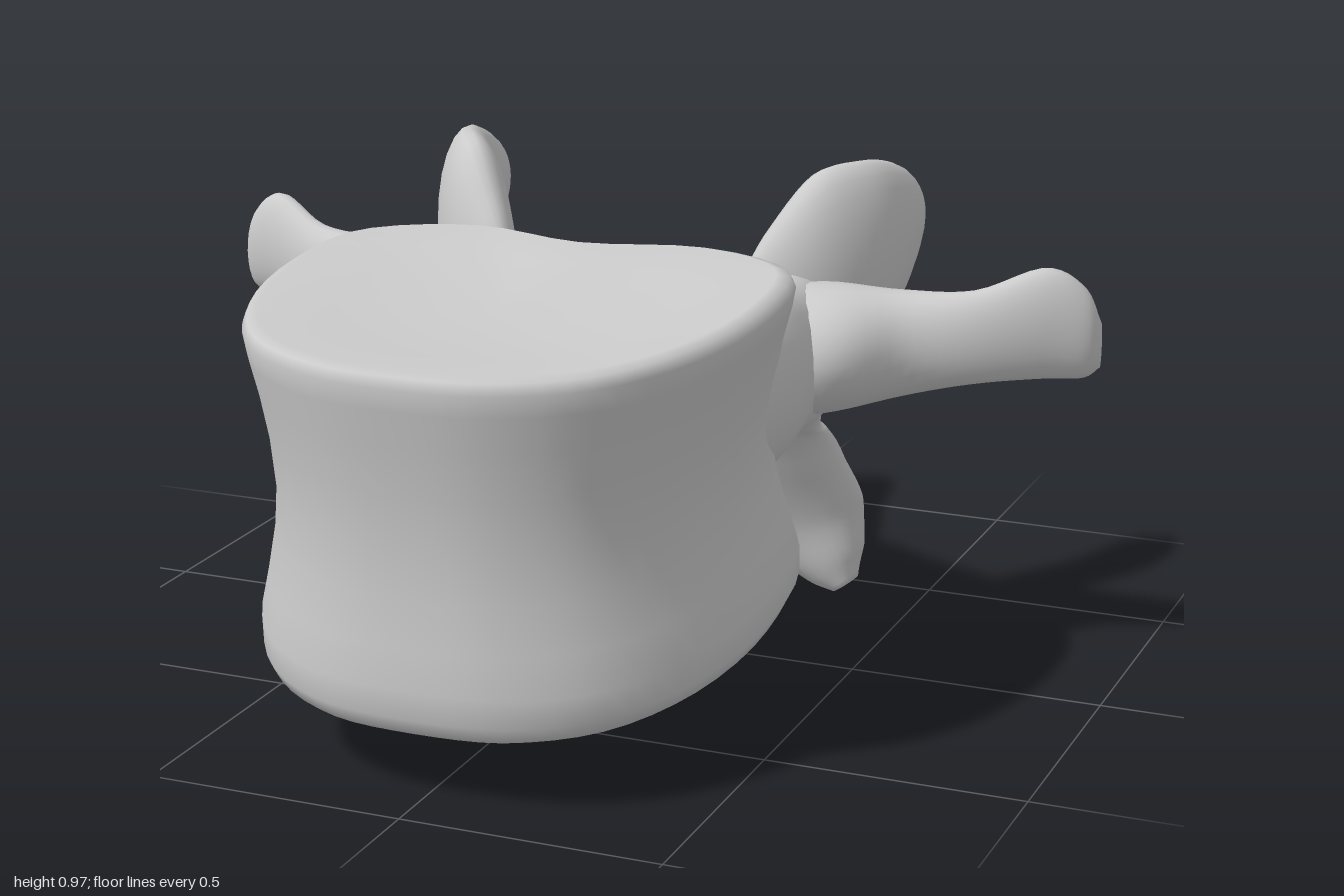
import * as THREE from 'three';

const material = new THREE.MeshStandardMaterial({ color: 0xcccccc });
const UP = new THREE.Vector3(0, 1, 0);
const BACK_FRONT = new THREE.Vector3(0, 0, 1);

// Skin closed rings of points into a smooth, capped surface.
function skin(name, rings) {
  const n = rings[0].length, last = (rings.length - 1) * n, index = [];
  const points = rings.flat();
  const centre = ring => ring.reduce((s, p) => s.add(p), new THREE.Vector3()).divideScalar(n);
  const c0 = points.length, c1 = c0 + 1;
  points.push(centre(rings[0]), centre(rings[rings.length - 1]));
  for (let j = 0; j < n; j++) {
    const k = (j + 1) % n;
    for (let i = 0; i < last; i += n) {
      index.push(i + j, i + k, i + n + j, i + k, i + n + k, i + n + j);
    }
    index.push(c0, k, j, c1, last + j, last + k);
  }
  const geometry = new THREE.BufferGeometry().setFromPoints(points);
  geometry.setIndex(index);
  geometry.computeVertexNormals();
  const mesh = new THREE.Mesh(geometry, material);
  mesh.name = name;
  return mesh;
}

// Loft oval sections [x, y, z, half width, half height, taper] along a smooth path.
function loft(name, sections, up = UP, side = 1, steps = 32, sides = 24) {
  const path = new THREE.CatmullRomCurve3(
    sections.map(s => new THREE.Vector3(s[0] * side, s[1], s[2])));
  const size = new THREE.CatmullRomCurve3(
    sections.map(s => new THREE.Vector3(s[3], s[4], s[5] || 0)));
  // Evaluate both curves at the same parameter with uniform Catmull-Rom.
  path.curveType = size.curveType = 'catmullrom';
  const rings = [];
  for (let i = 0; i <= steps; i++) {
    const t = i / steps, c = path.getPoint(t), s = size.getPoint(t);
    const across = up.clone().cross(path.getTangent(t)).normalize();
    const ring = [];
    for (let j = 0; j < sides; j++) {
      const a = j / sides * Math.PI * 2;
      const w = s.x * Math.cos(a) * (1 - s.z * Math.sin(a));
      ring.push(c.clone().addScaledVector(across, w).addScaledVector(up, s.y * Math.sin(a)));
    }
    rings.push(ring);
  }
  return skin(name, rings);
}

// Drum-shaped body: rounded front, hollow back, narrowed waist and dished ends.
function vertebralBody() {
  const half = [[0, 1], [.17, .98], [.33, .89], [.44, .71], [.485, .45], [.44, .21], [.25, .11]];
  const loop = [...half, [0, .165], ...half.slice(1).reverse().map(([x, z]) => [-x, z])];
  const outline = new THREE.CatmullRomCurve3(
    loop.map(([x, z]) => new THREE.Vector3(x, 0, z)), true).getPoints(56).slice(0, -1);
  // Level, scale and rim-to-centre dish of each ring, bottom to top.
  const levels = [
    [0, .3, .02], [0, .65, .012], [0, .9, 0], [.015, .965, 0], [.06, .995, 0], [.14, .995, 0],
    [.25, .955, 0], [.38, .915, 0], [.52, .895, 0], [.66, .91, 0], [.8, .945, 0], [.9, .98, 0],
    [.96, .995, 0], [.99, .975, 0], [1, .93, 0], [1, .65, -.018], [1, .3, -.03]];
  const rings = levels.map(([t, s, dish]) => outline.map(p => {
    const lean = .05 * (t - 1);
    const z = .55 + (p.z - .55) * (s + (1 - s) * (t > .1 && t < .95 ? .35 : 0)) + lean;
    const low = .135 + Math.max(0, .92 - z) * .155;
    const high = .82 + Math.min(.05, Math.max(0, 1 - z) * .07);
    return new THREE.Vector3(p.x * s, low + (high - low) * t + dish, z);
  }));
  return skin('vertebralBody', rings);
}

export function createModel() {
  const model = new THREE.Group();
  model.name = 'vertebra';
  model.add(vertebralBody());

  // Arch across the back of the canal
  model.add(loft('lamina', [
    [-.34, .62, -.03, .06, .12], [-.25, .58, -.12, .065, .14], [-.13, .51, -.23, .065, .15],
    [0, .48, -.305, .075, .16],
    [.13, .51, -.23, .065, .15], [.25, .58, -.12, .065, .14], [.34, .62, -.03, .06, .12]]));

  // Rear blade with a thin crest and a thick lower edge ending in a knob
  model.add(loft('spinousProcess', [
    [0, .52, -.25, .05, .11, .3], [0, .46, -.34, .085, .17, .6], [0, .375, -.48, .1, .2, .65],
    [0, .335, -.62, .075, .18, .6], [0, .27, -.76, .06, .195, .4], [0, .22, -.87, .085, .21, .4],
    [0, .205, -.95, .075, .17, .35], [0, .2, -.985, .05, .115, .2], [0, .2, -1, .015, .04]]));

  for (const side of [1, -1]) {
    const label = side > 0 ? 'left' : 'right';
    const half = new THREE.Group();
    half.name = label + 'Processes';

    // Bridge from body to arch
    half.add(loft(label + 'Pedicle', [
      [.34, .63, .34, .09, .17], [.355, .635, .2, .1, .175], [.355, .64, .08, .097, .155],
      [.35, .63, -.04, .1, .155], [.35, .62, -.14, .07, .12]], UP, side));

    // Side wing
    half.add(loft(label + 'TransverseProcess', [
      [.3, .64, .02, .12, .13], [.43, .655, -.02, .15, .125], [.56, .665, -.065, .085, .105],
      [.7, .685, -.09, .045, .093], [.82, .71, -.15, .043, .11], [.89, .69, -.185, .036, .09],
      [.92, .665, -.2, .012, .045]], UP, side));

    // Curved upper plate cupping the joint face
    half.add(loft(label + 'SuperiorArticularProcess', [
      [.25, .72, -.03, .02, .06], [.29, .72, -.06, .05, .14], [.36, .76, -.13, .07, .205],
      [.42, .785, -.22, .068, .195], [.45, .81, -.32, .055, .15], [.457, .84, -.4, .045, .08],
      [.457, .84, -.43, .015, .03]], UP, side));

    // Drooping lower plate
    half.add(loft(label + 'InferiorArticularProcess', [
      [.32, .68, -.1, .06, .05], [.29, .57, -.15, .1, .08], [.23, .44, -.235, .12, .085],
      [.24, .31, -.31, .13, .09], [.275, .19, -.365, .125, .085], [.325, .1, -.375, .08, .068],
      [.36, .05, -.365, .03, .035]], BACK_FRONT, side));
    model.add(half);
  }
  return model;
}
